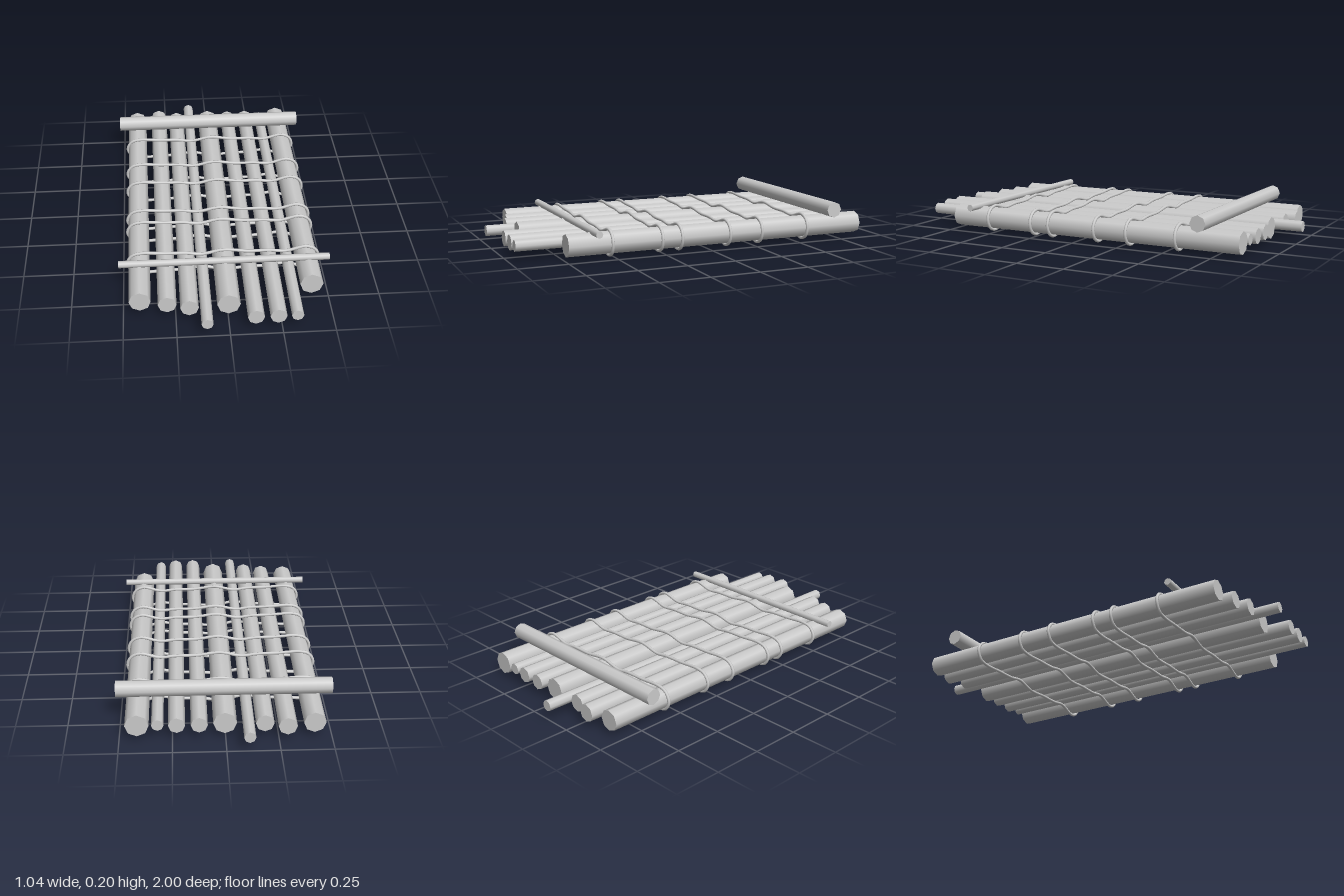
import * as THREE from 'three';

const material = new THREE.MeshStandardMaterial({ color: 0xcccccc });
const LOG_Y = 0.073;

// x, radius, back end z, front end z
const LOGS = [
  [-0.42, 0.053, -0.88, 0.82],
  [-0.29, 0.045, -0.91, 0.85],
  [-0.185, 0.044, -0.88, 0.88],
  [-0.107, 0.028, -1, 1],
  [0.003, 0.056, -0.87, 0.865],
  [0.124, 0.04, -0.885, 0.965],
  [0.23, 0.04, -0.885, 0.965],
  [0.32, 0.029, -0.88, 0.965],
  [0.417, 0.057, -0.88, 0.74],
];
const ROPE_Z = [-0.555, -0.29, -0.11, 0.155, 0.26, 0.52];
const ROPE_RADIUS = 0.008;

function addMesh(parent, name, geometry) {
  const mesh = new THREE.Mesh(geometry, material);
  mesh.name = name;
  parent.add(mesh);
  return mesh;
}

function addGroup(parent, name) {
  const group = new THREE.Group();
  group.name = name;
  parent.add(group);
  return group;
}

// Closed loop weaving under and over the row of logs
function ropeGeometry() {
  const bottom = [
    [-0.455, 0.026], [-0.41, 0.014], [-0.29, 0.019], [-0.185, 0.024], [-0.107, 0.037],
    [0.003, 0.015], [0.124, 0.023], [0.23, 0.026], [0.315, 0.038], [0.417, 0.009], [0.462, 0.028],
  ];
  const top = [
    [0.462, 0.116], [0.417, 0.136], [0.315, 0.113], [0.23, 0.12], [0.124, 0.121],
    [0.003, 0.135], [-0.107, 0.114], [-0.185, 0.123], [-0.29, 0.126], [-0.41, 0.132], [-0.455, 0.118],
  ];
  const loop = [...bottom, [0.48, LOG_Y], ...top, [-0.479, LOG_Y]];
  const curve = new THREE.CatmullRomCurve3(
    loop.map(([x, y]) => new THREE.Vector3(x, y, 0)), true);
  return new THREE.TubeGeometry(curve, 120, ROPE_RADIUS, 8, true);
}

export function createModel() {
  const raft = new THREE.Group();
  raft.name = 'raft';

  // Deck of uneven logs
  const deck = addGroup(raft, 'deckLogs');
  LOGS.forEach(([x, radius, back, front], i) => {
    const geometry = new THREE.CylinderGeometry(radius, radius, front - back, 8);
    geometry.rotateX(Math.PI / 2);
    addMesh(deck, `log${i + 1}`, geometry).position.set(x, LOG_Y, (back + front) / 2);
  });

  // Crossbars resting on the deck
  const addCrossbar = (name, radius, y, z) => {
    const geometry = new THREE.CylinderGeometry(radius, radius, 1.04, 8);
    geometry.rotateZ(Math.PI / 2);
    addMesh(raft, name, geometry).position.set(0, y, z);
  };
  addCrossbar('backCrossbar', 0.041, 0.164, -0.69);
  addCrossbar('frontCrossbar', 0.018, 0.133, 0.603);

  // Rope lashings
  const ropes = addGroup(raft, 'ropes');
  const geometry = ropeGeometry();
  ROPE_Z.forEach((z, i) => {
    addMesh(ropes, `rope${i + 1}`, geometry).position.z = z;
  });

  return raft;
}
